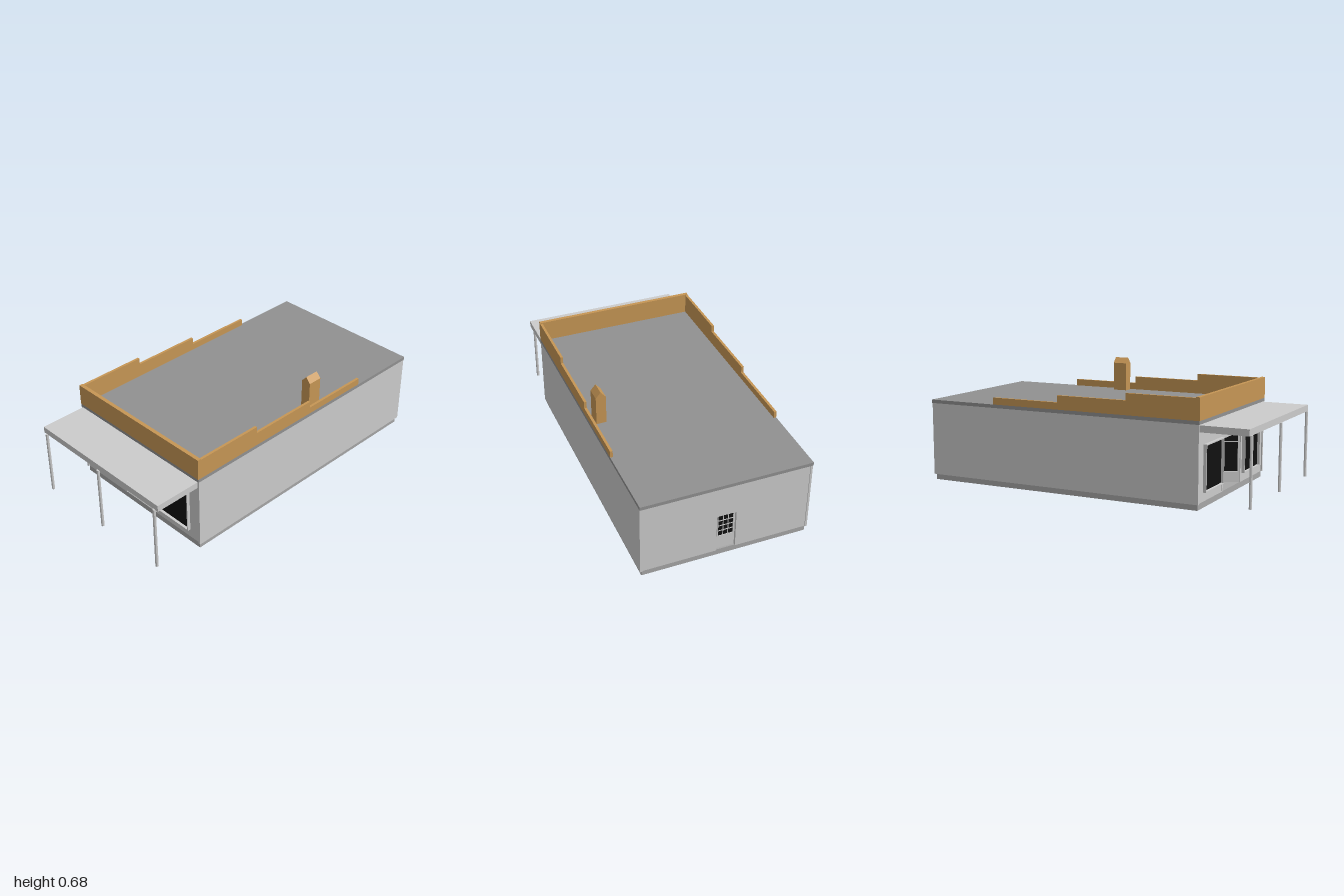
import * as THREE from 'three';

const mat = (color) => new THREE.MeshStandardMaterial({ color, flatShading: true });

export function createModel() {
  const model = new THREE.Group();
  const grey = mat(0xcccccc), stone = mat(0xa7a7a7), roofing = mat(0x919191);
  const brown = mat(0xc69655), black = mat(0x101010);

  // Box given by its lower and upper limits on each axis
  function block(name, material, [x0, x1], [y0, y1], [z0, z1], parent = model) {
    const mesh = new THREE.Mesh(new THREE.BoxGeometry(x1 - x0, y1 - y0, z1 - z0), material);
    mesh.position.set((x0 + x1) / 2, (y0 + y1) / 2, (z0 + z1) / 2);
    mesh.name = name;
    parent.add(mesh);
    return mesh;
  }

  // Outline in x and y, extruded along z from z0 to z1
  function slab(name, material, points, z0, z1) {
    const shape = new THREE.Shape(points.map(([x, y]) => new THREE.Vector2(x, y)));
    const geometry = new THREE.ExtrudeGeometry(shape, { depth: z1 - z0, bevelEnabled: false });
    const mesh = new THREE.Mesh(geometry, material);
    mesh.position.z = z0;
    mesh.name = name;
    model.add(mesh);
  }

  // Wall with a doorway cut up from its lower edge
  const wallWithDoorway = (w, bottom, top, doorLeft, doorRight, doorTop) => [
    [-w, bottom], [doorLeft, bottom], [doorLeft, doorTop], [doorRight, doorTop],
    [doorRight, bottom], [w, bottom], [w, top], [-w, top]];

  // Glazed panel facing +z, origin at bottom centre, with frame and glazing bars
  function glazing(name, w, h, { cols = 1, rows = 1, frame = 0.008, bar = 0.004, depth = 0.012 } = {}) {
    const group = new THREE.Group();
    group.name = name;
    const x = w / 2;
    block('glass', black, [-x + frame, x - frame], [frame, h - frame], [-0.004, 0.002], group);
    for (const s of [-1, 1]) {
      const a = s * x, b = s * (x - frame);
      block('frameSide', grey, [Math.min(a, b), Math.max(a, b)], [0, h], [-0.004, depth], group);
    }
    block('frameBottom', grey, [-x + frame, x - frame], [0, frame], [-0.004, depth], group);
    block('frameTop', grey, [-x + frame, x - frame], [h - frame, h], [-0.004, depth], group);
    for (let i = 1; i < cols; i++) {
      const c = -x + frame + (w - 2 * frame) * i / cols;
      block('verticalBar', grey, [c - bar / 2, c + bar / 2], [frame, h - frame], [0, 0.005], group);
    }
    for (let i = 1; i < rows; i++) {
      const c = frame + (h - 2 * frame) * i / rows;
      block('horizontalBar', grey, [-x + frame, x - frame], [c - bar / 2, c + bar / 2], [0, 0.005], group);
    }
    model.add(group);
    return group;
  }

  // Base, walls and roof
  block('foundation', stone, [-0.48, 0.48], [0, 0.035], [-0.985, 0.705]);
  for (const s of [-1, 1]) {
    block('sideWall', grey, s < 0 ? [-0.49, -0.478] : [0.478, 0.49], [0.033, 0.46], [-0.995, 0.713]);
  }
  slab('frontWall', grey, wallWithDoorway(0.479, 0.034, 0.46, -0.145, 0.145, 0.33), 0.685, 0.706);
  slab('backWall', grey, wallWithDoorway(0.479, 0.034, 0.46, -0.057, 0.055, 0.27), -0.99, -0.96);
  block('roof', roofing, [-0.49, 0.49], [0.46, 0.48], [-1, 0.715]);

  // Stepped parapet
  block('frontParapet', brown, [-0.49, 0.49], [0.48, 0.605], [0.695, 0.717]);
  const steps = [[0.285, 0.695, 0.6], [-0.14, 0.285, 0.56], [-0.565, -0.14, 0.52]];
  for (const [z0, z1, top] of steps) {
    block('rightParapet', brown, [-0.49, -0.475], [0.48, top], [z0, z1]);
    block('leftParapet', brown, [0.475, 0.49], [0.48, top], [z0, z1]);
  }

  // Chimney with a gabled top
  slab('chimney', brown,
    [[0.4, 0.48], [0.458, 0.48], [0.458, 0.65], [0.429, 0.683], [0.4, 0.65]], -0.255, -0.168);

  // Porch canopy and posts
  block('canopy', grey, [-0.48, 0.48], [0.42, 0.457], [0.7, 0.988]);
  for (const x of [-0.453, 0, 0.453]) {
    const post = new THREE.Mesh(new THREE.CylinderGeometry(0.009, 0.009, 0.387, 8), grey);
    post.position.set(x, 0.2285, 0.99);
    post.name = 'post';
    model.add(post);
  }

  // Shop windows
  for (const x of [-0.285, 0.281]) {
    glazing('shopWindow', 0.25, 0.26, { frame: 0.006, depth: 0.018 }).position.set(x, 0.084, 0.707);
  }

  // Recessed entrance: ceiling, slanted side lights, jambs and double door
  const frontZ = 0.7, backZ = 0.595, outerX = 0.137, innerX = 0.08;
  block('entranceCeiling', grey, [-0.145, 0.145], [0.33, 0.34], [backZ - 0.01, 0.69]);
  const length = Math.hypot(outerX - innerX, frontZ - backZ);
  for (const s of [-1, 1]) {
    const side = glazing('sideLight', length, 0.245, { frame: 0.012, depth: 0.006 });
    side.position.set(s * (outerX + innerX) / 2, 0.085, (frontZ + backZ) / 2);
    side.rotation.y = -s * Math.atan2(frontZ - backZ, outerX - innerX);
    block('sideLightBar', grey, [-length / 2, length / 2], [0.183, 0.188], [0, 0.005], side);
    block('sideLightPanel', grey, [-length / 2, length / 2], [-0.051, 0], [-0.004, 0.006], side);
    block('entranceJamb', grey, s < 0 ? [-0.146, -0.132] : [0.132, 0.146], [0.034, 0.33], [0.685, 0.707]);
    block('doorJamb', grey, s < 0 ? [-0.086, -0.07] : [0.07, 0.086], [0.034, 0.33], [backZ - 0.01, backZ + 0.008]);
    glazing('frontDoor', 0.07, 0.292, { cols: 2, rows: 5, frame: 0.006, depth: 0.006 })
      .position.set(s * 0.035, 0.035, backZ);
  }
  block('doorHead', grey, [-0.07, 0.07], [0.325, 0.332], [backZ - 0.01, backZ + 0.007]);

  // Back door set into the wall, glazed in its upper part
  block('backDoor', grey, [-0.057, 0.055], [0.034, 0.27], [-0.974, -0.962]);
  const backLight = glazing('backDoorWindow', 0.096, 0.146, { cols: 3, rows: 4, frame: 0.005, depth: 0.006 });
  backLight.position.set(-0.001, 0.12, -0.975);
  backLight.rotation.y = Math.PI;

  return model;
}
